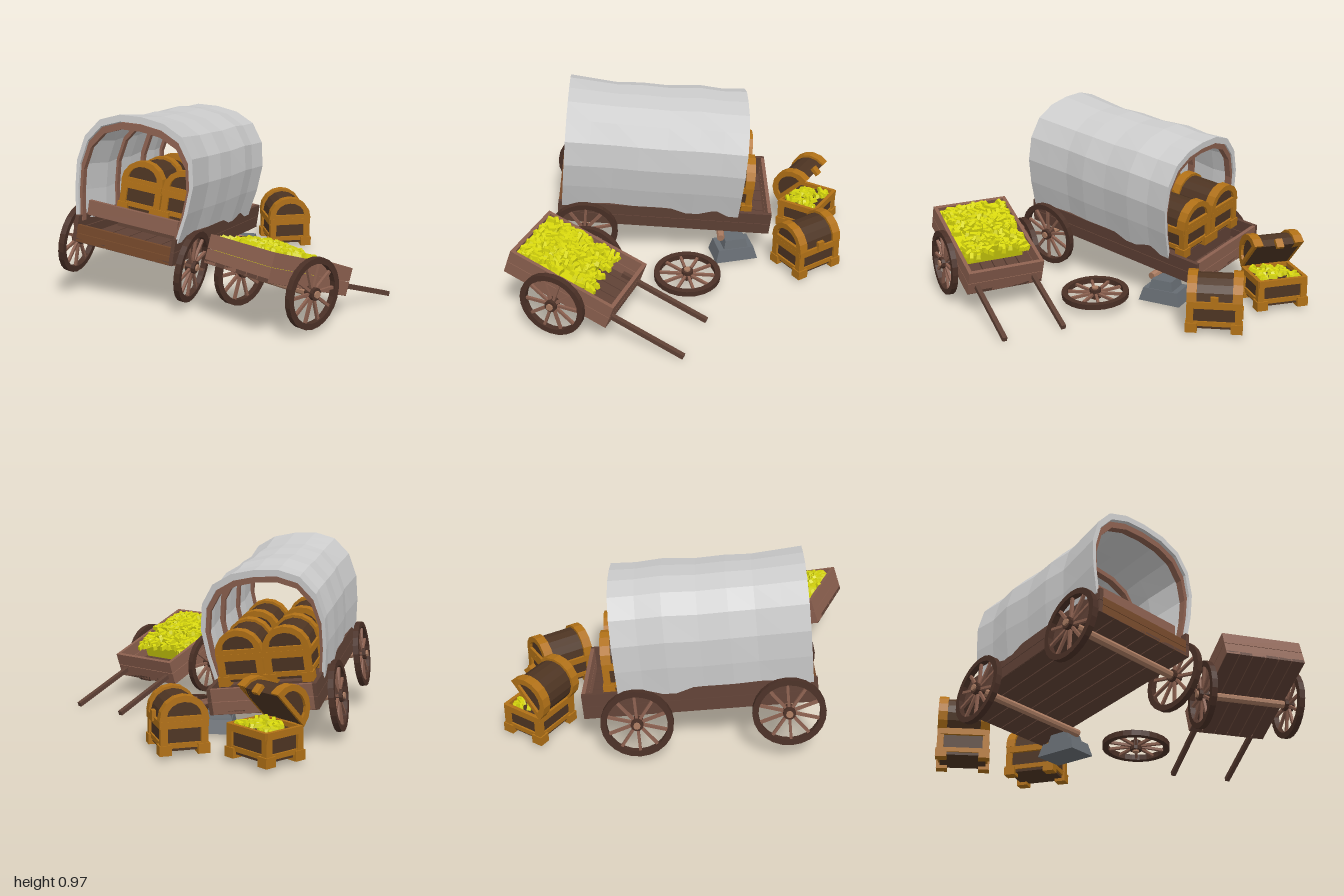
import * as THREE from 'three';
import { mergeGeometries } from 'three/addons/utils/BufferGeometryUtils.js';

const mat = (color) => new THREE.MeshStandardMaterial({ color, flatShading: true });
const M = {
  wood: mat(0x8a5f4e), darkWood: mat(0x5f4135), rim: mat(0x4a3026), gate: mat(0x74482a),
  axle: mat(0xa87a60), trim: mat(0xb07016), chest: mat(0x4d3422), gold: mat(0xd6d60c),
  rock: mat(0x666c72), cloth: mat(0xcccccc),
};

let seed = 7;
const rnd = () => (seed = (seed * 16807) % 2147483647) / 2147483647;

function add(parent, name, geo, material, x = 0, y = 0, z = 0) {
  const m = new THREE.Mesh(geo, material);
  m.name = name;
  m.position.set(x, y, z);
  parent.add(m);
  return m;
}
const box = (parent, name, material, w, h, d, x, y, z) =>
  add(parent, name, new THREE.BoxGeometry(w, h, d), material, x, y, z);

function group(parent, name, x = 0, y = 0, z = 0) {
  const g = new THREE.Group();
  g.name = name;
  g.position.set(x, y, z);
  parent.add(g);
  return g;
}

// Spoked wheel whose axis runs along x
function wheel(parent, name, r, x, y, z) {
  const g = group(parent, name, x, y, z);
  const ring = new THREE.Shape().absarc(0, 0, r, 0, Math.PI * 2);
  ring.holes.push(new THREE.Path().absarc(0, 0, r - 0.03, 0, Math.PI * 2, true));
  const rim = new THREE.ExtrudeGeometry(ring, { depth: 0.03, bevelEnabled: false, curveSegments: 12 });
  add(g, 'rim', rim.translate(0, 0, -0.015).rotateY(Math.PI / 2), M.rim);
  add(g, 'hub', new THREE.CylinderGeometry(0.032, 0.032, 0.05, 10).rotateZ(Math.PI / 2), M.rim);
  add(g, 'hubCap', new THREE.CylinderGeometry(0.018, 0.018, 0.07, 8).rotateZ(Math.PI / 2), M.axle);
  for (let i = 0; i < 10; i++) {
    const spoke = new THREE.BoxGeometry(0.014, r - 0.04, 0.014).translate(0, (r - 0.02) / 2 + 0.01, 0);
    add(g, 'spoke', spoke.rotateX((i * Math.PI) / 5), M.wood);
  }
  return g;
}

const axle = (parent, len, z) =>
  add(parent, 'axle', new THREE.CylinderGeometry(0.021, 0.021, len, 8).rotateZ(Math.PI / 2), M.axle, 0, 0, z);

// Open plank box: floor boards along z and walls of two boards each
function plankBed(parent, hw, z0, z1, y0, y1, sideMat, frontMat, frontTop) {
  const n = 6, w = (2 * hw) / n, len = z1 - z0, zc = (z0 + z1) / 2;
  for (let i = 0; i < n; i++)
    box(parent, 'floorPlank', M.darkWood, w - 0.005, 0.018, len, -hw + w * (i + 0.5), y0 + 0.009, zc);
  const h = (y1 - y0) / 2;
  for (let k = 0; k < 2; k++) {
    const y = y0 + h * (k + 0.5);
    for (const s of [-1, 1]) box(parent, 'sidePlank', sideMat, 0.02, h - 0.003, len, s * (hw - 0.01), y, zc);
    box(parent, 'endPlank', M.wood, 2 * hw - 0.04, h - 0.003, 0.02, 0, y, z0 + 0.01);
    const fh = (frontTop - y0) / 2;
    box(parent, 'frontPlank', frontMat, 2 * hw - 0.04, fh - 0.003, 0.02, 0, y0 + fh * (k + 0.5), z1 - 0.01);
  }
}

// Heap of bars laid at random; height(x, z) gives the surface
function goldHeap(parent, count, hx, z0, z1, height, size) {
  const bars = [];
  for (let i = 0; i < count; i++) {
    const x = (rnd() * 2 - 1) * hx, z = z0 + rnd() * (z1 - z0);
    const bar = new THREE.CylinderGeometry(0.5, 0.71, 1, 4).rotateY(Math.PI / 4);
    bar.scale(size, size * 0.42, size * 0.45);
    bar.rotateZ((rnd() - 0.5) * 0.7).rotateY(rnd() * Math.PI);
    bars.push(bar.translate(x, height(x, z) + (rnd() - 0.5) * 0.015, z));
  }
  add(parent, 'goldBars', mergeGeometries(bars), M.gold);
}

// Half ellipse from +x over the top to -x
function arc(rx, ry, y = 0) {
  return Array.from({ length: 9 }, (_, i) =>
    new THREE.Vector2(rx * Math.cos((i * Math.PI) / 8), y + ry * Math.sin((i * Math.PI) / 8)));
}

// Chest with a barrel lid along z, hinged on its -x side
function chest(parent, name, x, y, z, yaw, open = 0) {
  const g = group(parent, name, x, y, z);
  g.rotation.y = yaw;
  box(g, 'body', M.chest, 0.21, 0.125, 0.25, 0, 0.08, 0);
  for (const s of [-1, 1]) {
    box(g, 'sideRail', M.trim, 0.02, 0.035, 0.27, s * 0.112, 0.147, 0);
    box(g, 'endRail', M.trim, 0.23, 0.035, 0.02, 0, 0.147, s * 0.13);
    box(g, 'endSill', M.trim, 0.2, 0.025, 0.015, 0, 0.045, s * 0.128);
    box(g, 'sideSill', M.trim, 0.014, 0.025, 0.22, s * 0.106, 0.045, 0);
    for (const t of [-1, 1]) {
      box(g, 'foot', M.trim, 0.06, 0.05, 0.06, s * 0.095, 0.025, t * 0.115);
      box(g, 'cornerPost', M.trim, 0.035, 0.1, 0.035, s * 0.1, 0.09, t * 0.122);
    }
  }
  if (open) goldHeap(g, 45, 0.08, -0.1, 0.1, () => 0.16, 0.05);
  const lid = group(g, 'lid', -0.115, 0.165, 0);
  lid.rotation.z = open;
  const wood = new THREE.ExtrudeGeometry(new THREE.Shape(arc(0.11, 0.11)), { depth: 0.25, bevelEnabled: false });
  add(lid, 'lidBoards', wood, M.chest, 0.115, 0, -0.125);
  const band = new THREE.Shape(arc(0.123, 0.124));
  band.holes.push(new THREE.Path(arc(0.085, 0.07, 0.022).reverse()));
  const bandGeo = new THREE.ExtrudeGeometry(band, { depth: 0.05, bevelEnabled: false });
  for (const s of [-1, 1]) add(lid, 'lidBand', bandGeo, M.trim, 0.115, 0, s * 0.115 - 0.025);
  box(lid, 'lock', M.trim, 0.02, 0.05, 0.04, 0.235, 0.005, 0);
}

// Right half of the cover's section, bottom to crown, then mirrored
const half = [[0.285, 0.125], [0.312, 0.28], [0.322, 0.42], [0.295, 0.55], [0.225, 0.645], [0.12, 0.69]];
const cover = [...half, [0, 0.7], ...half.map(([x, y]) => [-x, y]).reverse()];
const inset = (k) => cover.map(([x, y]) => [x * k, 0.125 + (y - 0.125) * k]);

// Cloth cover: thick section lofted along z, drawn in between the hoops
function clothCover(parent) {
  const rings = [[-0.46, 1, 0], [-0.33, 0.96, -0.004], [-0.2, 0.99, 0.004], [-0.03, 0.95, -0.008],
    [0.12, 0.96, -0.004], [0.25, 0.92, -0.008], [0.38, 0.96, 0], [0.51, 1, 0.008]];
  const loop = [...cover, ...inset(0.94).reverse()], n = loop.length, pos = [], idx = [];
  for (const [z, k, dy] of rings) for (const [x, y] of loop) pos.push(x * k, y + dy, z);
  const quad = (a, b, c, d) => idx.push(a, b, c, a, c, d);
  for (let r = 0; r < rings.length - 1; r++)
    for (let j = 0; j < n; j++) {
      const j2 = (j + 1) % n;
      quad(r * n + j, r * n + j2, r * n + n + j2, r * n + n + j);
    }
  const f = (rings.length - 1) * n;
  for (let i = 0; i < cover.length - 1; i++) {
    quad(f + i, f + i + 1, f + n - 2 - i, f + n - 1 - i);
    quad(n - 1 - i, n - 2 - i, i + 1, i);
  }
  const geo = new THREE.BufferGeometry();
  geo.setAttribute('position', new THREE.Float32BufferAttribute(pos, 3));
  geo.setIndex(idx);
  geo.computeVertexNormals();
  add(parent, 'clothCover', geo, M.cloth);
  // wooden hoops inside the cloth
  const hoop = [...inset(0.945), ...inset(0.885).reverse()].map(([x, y]) => new THREE.Vector2(x, y));
  const hoopGeo = new THREE.ExtrudeGeometry(new THREE.Shape(hoop), { depth: 0.035, bevelEnabled: false });
  for (const z of [-0.45, -0.2, 0.1, 0.46]) {
    const h = add(parent, 'hoop', hoopGeo, M.wood, 0, 0, z);
    if (Math.abs(z) < 0.4) h.scale.x = 0.97;
  }
}

function wagon(parent) {
  const g = group(parent, 'coveredWagon', -0.37, 0.195, 0.095);
  g.rotation.set(-0.098, -0.205, -0.125, 'YXZ');
  plankBed(g, 0.28, -0.645, 0.53, 0.02, 0.155, M.darkWood, M.gate, 0.11);
  box(g, 'seatBoard', M.wood, 0.5, 0.075, 0.025, 0, 0.19, 0.45);
  for (const z of [-0.378, 0.378]) {
    axle(g, 0.64, z);
    wheel(g, 'wheel', 0.183, -0.324, 0, z);
  }
  wheel(g, 'wheel', 0.183, 0.324, 0, 0.378);
  clothCover(g);
  // cargo on a low platform
  box(g, 'cargoPlatform', M.darkWood, 0.48, 0.09, 0.62, 0, 0.083, -0.19);
  for (const z of [-0.39, 0]) for (const x of [-0.122, 0.122]) chest(g, 'cargoChest', x, 0.13, z, 0);
}

function handcart(parent) {
  const g = group(parent, 'handcart', 0.31, 0.182, 0.665);
  g.rotation.set(-0.35, -0.615, 0, 'YXZ');
  plankBed(g, 0.21, -0.29, 0.3, 0.01, 0.152, M.wood, M.wood, 0.152);
  axle(g, 0.47, 0);
  for (const s of [-1, 1]) {
    wheel(g, 'cartWheel', 0.175, s * 0.235, 0, 0);
    box(g, 'handle', M.darkWood, 0.024, 0.024, 0.5, s * 0.16, 0.055, -0.45);
  }
  // load of gold, piled toward the front
  box(g, 'goldFill', M.gold, 0.36, 0.1, 0.36, 0, 0.08, 0.1);
  const pile = (x, z) => 0.135 + 0.045 * Math.cos(x * 7) * Math.cos((z - 0.07) * 6.5);
  goldHeap(g, 230, 0.17, -0.14, 0.265, pile, 0.055);
}

export function createModel() {
  const root = new THREE.Group();
  root.name = 'wagonScene';
  wagon(root);
  handcart(root);

  // wheel that has come off, lying on the ground
  wheel(root, 'looseWheel', 0.18, 0.21, 0.048, 0.035).rotation.set(0, 0, Math.PI / 2 - 0.06);

  chest(root, 'closedChest', 0.18, 0, -0.645, 0.36);
  chest(root, 'openChest', -0.25, 0, -0.8, 0.78, 0.8);

  // stepped rock propping up the bare axle
  const rock = group(root, 'rock', 0, 0, -0.28);
  for (const [w, h, d, y] of [[0.17, 0.07, 0.24, 0.035], [0.13, 0.055, 0.14, 0.092]]) {
    const stone = new THREE.CylinderGeometry(0.58, 0.7, 1, 4).rotateY(Math.PI / 4);
    add(rock, 'stone', stone.scale(w, h, d), M.rock, 0, y, 0);
  }
  return root;
}
